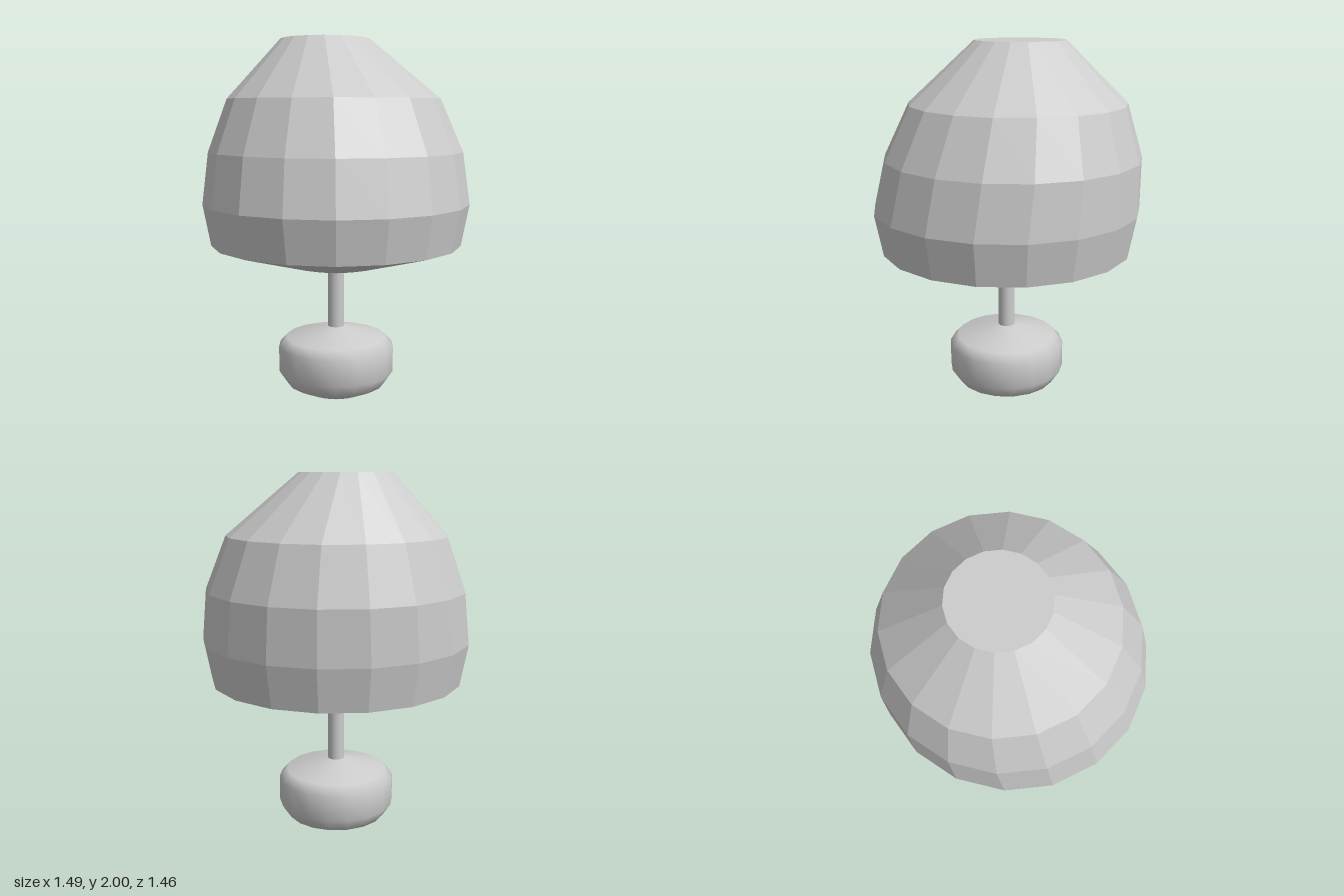
import * as THREE from 'three';

const SIDES = 18;

// Lathe with its corners on the x axis; profile points run from bottom to top
function turned(profile) {
  const points = profile.map(([r, y]) => new THREE.Vector2(r, y));
  return new THREE.LatheGeometry(points, SIDES, Math.PI / 2);
}

export function createModel() {
  const group = new THREE.Group();
  const smooth = new THREE.MeshStandardMaterial({ color: 0xcccccc });
  const faceted = new THREE.MeshStandardMaterial({ color: 0xcccccc, flatShading: true });

  const add = (name, geometry, material) => {
    const mesh = new THREE.Mesh(geometry, material);
    mesh.name = name;
    group.add(mesh);
    return mesh;
  };

  // Shade rings: radius, height, sideways drift in x, drift in z
  const rings = [
    [0, 0.695, 0, 0], [0.05, 0.695, 0, 0], [0.255, 0.74, 0, 0], [0.70, 0.865, 0, 0],
    [0.743, 1.095, 0, 0], [0.71, 1.38, -0.028, -0.02], [0.597, 1.67, -0.055, -0.03],
    [0.25, 2, -0.095, 0], [0, 2, -0.095, 0],
  ];
  const shade = turned(rings);
  const pos = shade.attributes.position;
  for (let i = 0; i < pos.count; i++) {
    const [, , dx, dz] = rings[i % rings.length];
    pos.setXYZ(i, pos.getX(i) + dx, pos.getY(i), pos.getZ(i) + dz);
  }
  const facetedShade = shade.toNonIndexed();
  facetedShade.computeVertexNormals();
  add('shade', facetedShade, faceted);

  // Stem between base and shade
  const stem = new THREE.CylinderGeometry(0.047, 0.047, 0.33, SIDES, 1, true);
  add('stem', stem, smooth).position.y = 0.54;

  // Rounded base with a flat underside
  add('base', turned([
    [0.175, 0], [0.28, 0.05], [0.33, 0.125], [0.33, 0.27], [0.285, 0.32], [0.045, 0.38],
  ]), smooth);
  add('baseUnderside', new THREE.CircleGeometry(0.175, SIDES).rotateX(Math.PI / 2), smooth);

  return group;
}
